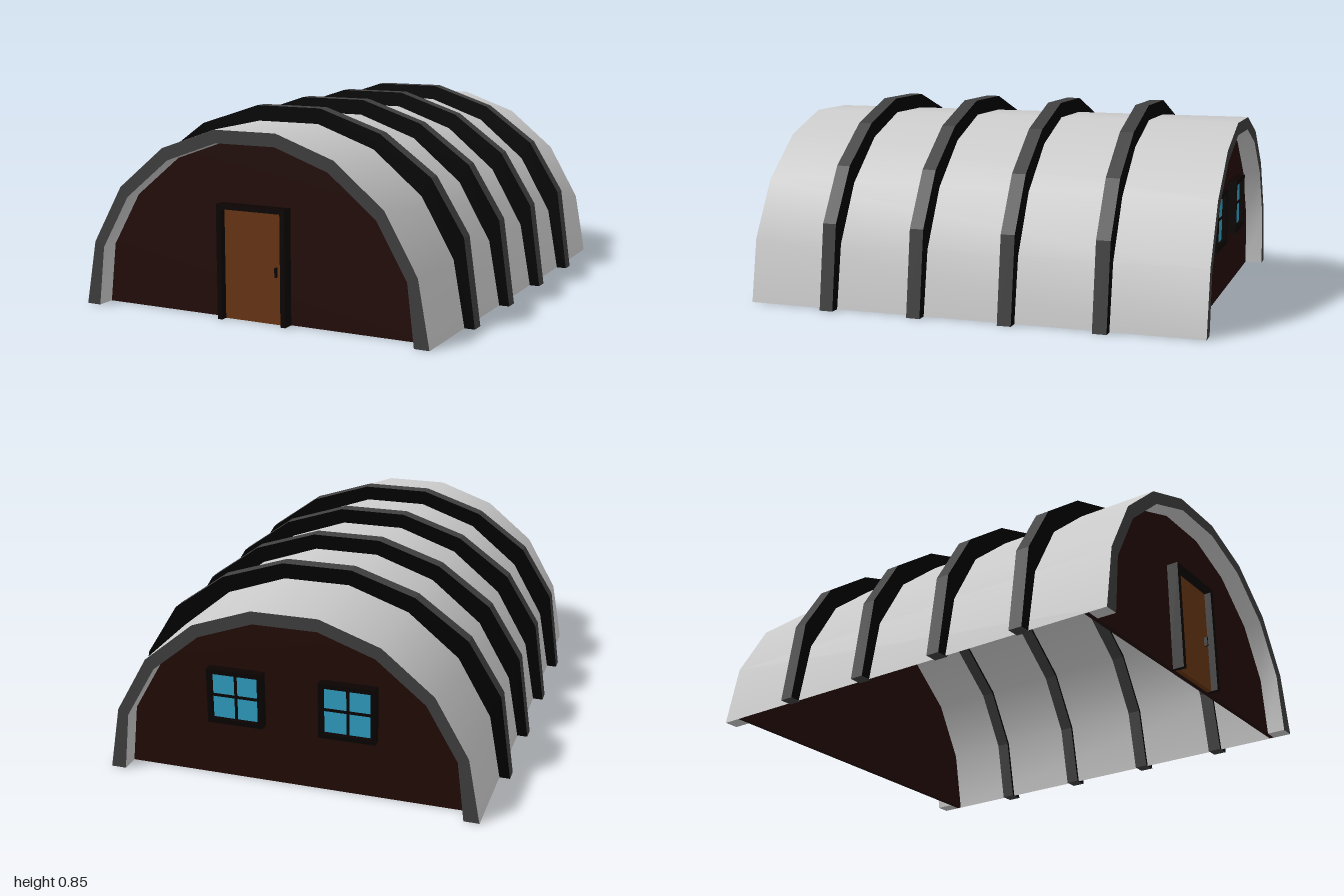
import * as THREE from 'three';
import { toCreasedNormals } from 'three/addons/utils/BufferGeometryUtils.js';

const paint = (color, side = THREE.FrontSide) => new THREE.MeshStandardMaterial({ color, side });

// Half of each arch, from the ground to the crown
const ROOF_OUTER = [[0.8, 0], [0.75, 0.275], [0.61, 0.52], [0.395, 0.697], [0.14, 0.787]];
const RIM_INNER = [[0.735, 0], [0.705, 0.255], [0.575, 0.48], [0.37, 0.648], [0.135, 0.732]];
const RIB_OUTER = [[0.845, 0], [0.793, 0.368], [0.65, 0.598], [0.423, 0.762], [0.15, 0.852]];

const scaled = (half, s) => half.map(([x, y]) => [x * s, y * s]);

// Mirror a half arch into a full run from +x to -x
function arch(half) {
  const left = half.map(([x, y]) => new THREE.Vector2(x, y));
  const right = half.map(([x, y]) => new THREE.Vector2(-x, y)).reverse();
  return [...left, ...right];
}

// Extrude a closed outline along z, centred on its depth
function extrude(points, depth) {
  const geometry = new THREE.ExtrudeGeometry(new THREE.Shape(points), { depth, bevelEnabled: false });
  return geometry.translate(0, 0, -depth / 2);
}

function arcBand(outer, inner, depth) {
  return extrude([...arch(outer), ...arch(inner).reverse()], depth);
}

// Bend a plane over the arch to make a thin, smooth sheet
function archSheet(half, length) {
  const run = arch(half).reverse();
  const columns = run.length;
  const geometry = new THREE.PlaneGeometry(1, length, columns - 1, 1);
  const position = geometry.attributes.position;
  for (let i = 0; i < position.count; i++) {
    const { x, y } = run[i % columns];
    position.setXYZ(i, x, y, -position.getY(i));
  }
  geometry.computeVertexNormals();
  return geometry;
}

function createModel() {
  const model = new THREE.Group();
  model.name = 'archedHut';

  const sheet = paint(0xcccccc, THREE.DoubleSide);
  const rimFace = paint(0x3e3e3e);
  const ribFace = paint(0x404040);
  const ribSide = paint(0x000000);
  const wallPaint = paint(0x210b06);
  const framePaint = paint(0x0a0302);
  const doorPaint = paint(0x673512);
  const glassPaint = paint(0x2f9dc0);

  function add(parent, name, geometry, material, x = 0, y = 0, z = 0) {
    const mesh = new THREE.Mesh(geometry, material);
    mesh.name = name;
    mesh.position.set(x, y, z);
    parent.add(mesh);
  }
  const box = (parent, name, material, w, h, d, x, y, z) =>
    add(parent, name, new THREE.BoxGeometry(w, h, d), material, x, y, z);

  // Thin roof sheet, open underneath
  add(model, 'roofSheet', archSheet(ROOF_OUTER, 2), sheet);

  // Thick rim and recessed wall at each end
  const rimGeometry = toCreasedNormals(arcBand(scaled(ROOF_OUTER, 0.999), RIM_INNER, 0.08), 0.7);
  const wallGeometry = extrude(arch(scaled(ROOF_OUTER, 0.995)), 0.02);
  for (const [end, dir] of [['front', 1], ['back', -1]]) {
    add(model, `${end}Rim`, rimGeometry, [rimFace, sheet], 0, 0, dir * 0.96);
    add(model, `${end}Wall`, wallGeometry, wallPaint, 0, 0, dir * 0.91);
  }

  // Ribs wrapping over the roof and showing slightly inside
  const ribGeometry = arcBand(RIB_OUTER, scaled(ROOF_OUTER, 0.985), 0.06);
  [0.62, 0.22, -0.18, -0.58].forEach((z, i) => {
    add(model, `rib${i + 1}`, ribGeometry, [ribSide, ribFace], 0, 0, z);
  });

  // Door with frame and handle
  const door = new THREE.Group();
  door.name = 'door';
  door.position.z = 0.92;
  model.add(door);
  box(door, 'doorPanel', doorPaint, 0.28, 0.46, 0.02, 0, 0.23, 0.01);
  for (const side of [-1, 1]) {
    box(door, 'doorFrameSide', framePaint, 0.022, 0.48, 0.06, side * 0.148, 0.24, 0.02);
  }
  box(door, 'doorFrameTop', framePaint, 0.318, 0.02, 0.06, 0, 0.47, 0.02);
  box(door, 'doorHandle', framePaint, 0.007, 0.04, 0.02, 0.106, 0.217, 0.025);

  // Two four-pane windows in the back wall
  for (const side of [-1, 1]) {
    const win = new THREE.Group();
    win.name = side > 0 ? 'leftWindow' : 'rightWindow';
    win.position.set(side * 0.24, 0.375, -0.92);
    model.add(win);
    box(win, 'windowGlass', glassPaint, 0.21, 0.21, 0.02, 0, 0, -0.01);
    for (const s of [-1, 1]) {
      box(win, 'windowFrameSide', framePaint, 0.02, 0.24, 0.05, s * 0.11, 0, -0.015);
      box(win, 'windowFrameRail', framePaint, 0.2, 0.02, 0.05, 0, s * 0.11, -0.015);
    }
    box(win, 'windowMullion', framePaint, 0.012, 0.2, 0.02, 0, 0, -0.013);
    box(win, 'windowCrossbar', framePaint, 0.2, 0.012, 0.02, 0, 0, -0.013);
  }

  return model;
}

export { createModel };
